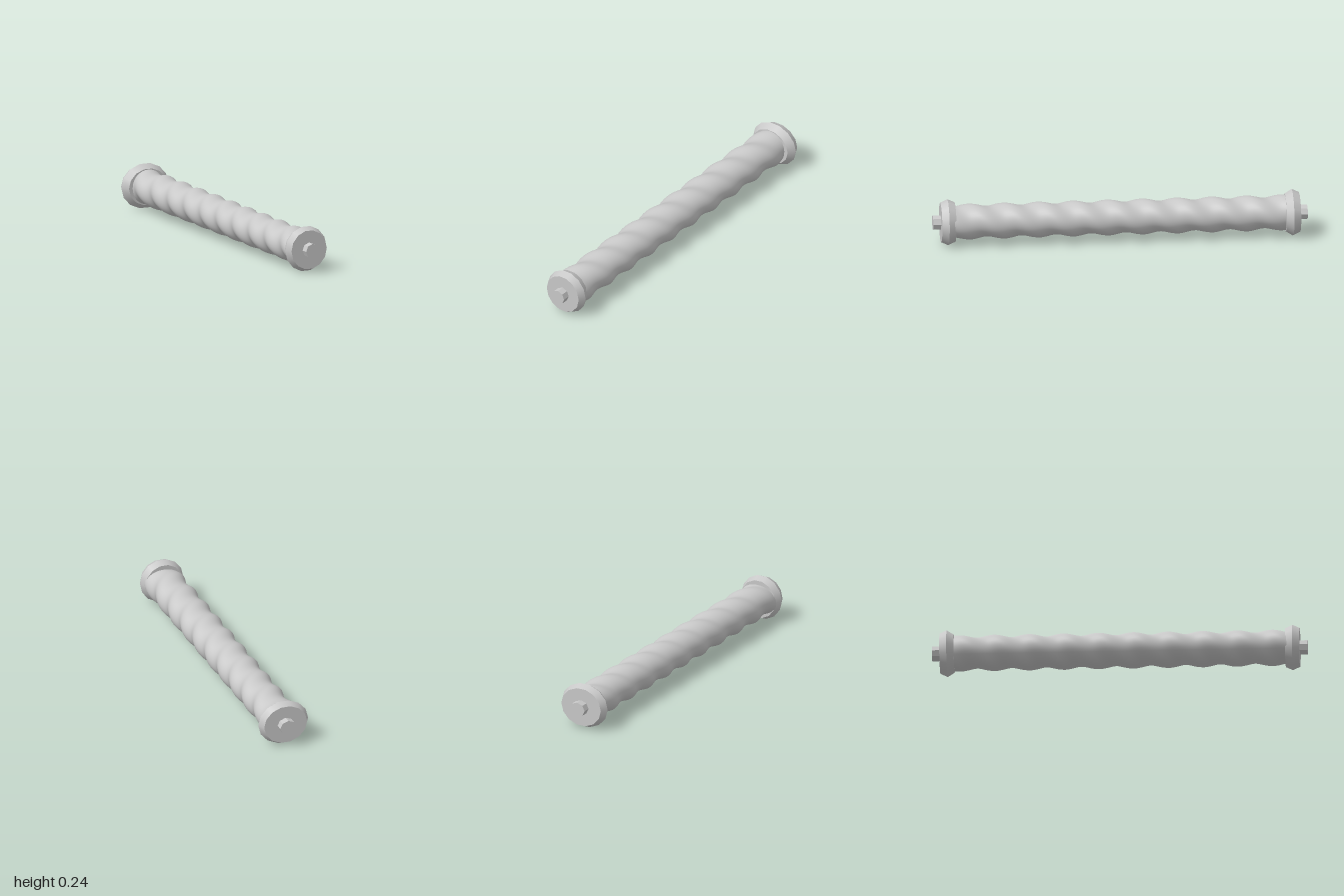
import * as THREE from 'three';
import { mergeVertices } from 'three/addons/utils/BufferGeometryUtils.js';

const AXIS_Y = 0.12;

// Frustum along z from back (z0, r0) to front (z1, r1), with a vertex on the x axis
function frustum(r0, z0, r1, z1, sides, open) {
  const g = new THREE.CylinderGeometry(r1, r0, z1 - z0, sides, 1, open, Math.PI / 2);
  g.rotateX(Math.PI / 2);
  g.translate(0, 0, (z0 + z1) / 2);
  return g;
}

// Two-lobed shaft whose section turns steadily along z
function twistedShaft(length, radius, lobe, pitch, widen) {
  let g = new THREE.CylinderGeometry(1, 1, length, 36, 140, true);
  g.rotateX(Math.PI / 2);
  const p = g.attributes.position;
  for (let i = 0; i < p.count; i++) {
    const z = p.getZ(i);
    const a = Math.atan2(p.getY(i), p.getX(i));
    const r = radius + lobe * Math.cos(2 * (a - (Math.PI * 2 * (z + 0.79)) / pitch));
    p.setXY(i, r * Math.cos(a) * widen, r * Math.sin(a));
  }
  g.deleteAttribute('uv');
  g.deleteAttribute('normal');
  g = mergeVertices(g, 1e-5);
  g.computeVertexNormals();
  return g;
}

export function createModel() {
  const model = new THREE.Group();
  const metal = new THREE.MeshStandardMaterial({ color: 0xc8c8c8 });
  metal.name = 'lightGrey';

  const add = (parent, name, geometry) => {
    const mesh = new THREE.Mesh(geometry, metal);
    mesh.name = name;
    parent.add(mesh);
    return mesh;
  };

  add(model, 'twistedShaft', twistedShaft(1.78, 0.087, 0.007, 0.37, 1.16)).position.y = AXIS_Y;

  // End caps: bevelled collar and octagonal axle stub; the back one is wider
  for (const { name, dir, widen, inner } of [
    { name: 'front', dir: 1, widen: 1, inner: 0.106 },
    { name: 'back', dir: -1, widen: 1.15, inner: 0.1 },
  ]) {
    const end = new THREE.Group();
    end.name = name + 'End';
    end.position.y = AXIS_Y;
    end.rotation.y = dir > 0 ? 0 : Math.PI;
    end.scale.x = widen;
    add(end, 'collarInnerBevel', frustum(inner, 0.882, 0.123, 0.92, 14, true));
    add(end, 'collarOuterBevel', frustum(0.123, 0.92, 0.106, 0.958, 14, true));
    const disc = (z, r, flip) => {
      const g = new THREE.CircleGeometry(r, 14);
      if (flip) g.rotateY(Math.PI);
      return g.translate(0, 0, z);
    };
    add(end, 'collarInnerFace', disc(0.882, inner, true));
    add(end, 'collarOuterFace', disc(0.958, 0.106, false));
    const stub = frustum(0.04, 0.95, 0.04, 1, 8, false).toNonIndexed();
    stub.computeVertexNormals();
    add(end, 'axleStub', stub);
    model.add(end);
  }
  return model;
}
